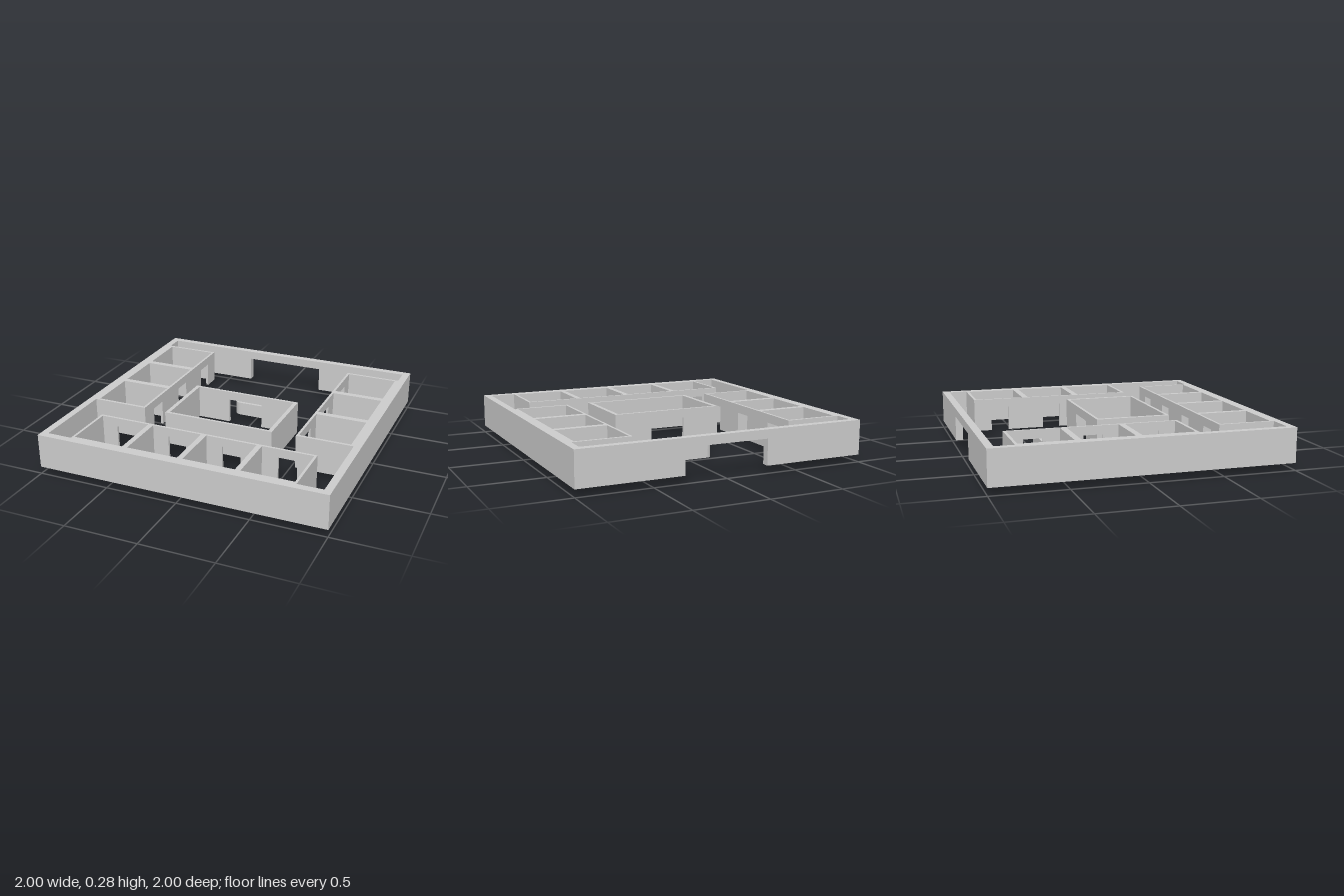
import * as THREE from 'three';

const BASE = 0.05, TOP = 0.285, DOOR_TOP = 0.225;
const material = new THREE.MeshStandardMaterial({ color: 0xcccccc, flatShading: true });
const smooth = new THREE.MeshStandardMaterial({ color: 0xcccccc });

// Solid wall covering a rectangle of the plan
function wall(parent, name, x0, x1, z0, z1) {
  const mesh = new THREE.Mesh(new THREE.BoxGeometry(x1 - x0, TOP - BASE, z1 - z0), material);
  mesh.position.set((x0 + x1) / 2, (BASE + TOP) / 2, (z0 + z1) / 2);
  mesh.name = name;
  parent.add(mesh);
  return mesh;
}

// Wall running from a to b along its local x, with doorways notched up from the floor
function doorWall(parent, name, a, b, thickness, doors, doorWidth) {
  const shape = new THREE.Shape();
  shape.moveTo(a, BASE);
  for (const d of doors) {
    shape.lineTo(d - doorWidth / 2, BASE);
    shape.lineTo(d - doorWidth / 2, DOOR_TOP);
    shape.lineTo(d + doorWidth / 2, DOOR_TOP);
    shape.lineTo(d + doorWidth / 2, BASE);
  }
  shape.lineTo(b, BASE);
  shape.lineTo(b, TOP);
  shape.lineTo(a, TOP);
  shape.closePath();
  const geometry = new THREE.ExtrudeGeometry(shape, { depth: thickness, bevelEnabled: false });
  const mesh = new THREE.Mesh(geometry, material);
  mesh.name = name;
  parent.add(mesh);
  return mesh;
}

function group(parent, name) {
  const g = new THREE.Group();
  g.name = name;
  parent.add(g);
  return g;
}

export function createModel() {
  const model = new THREE.Group();
  model.name = 'floorPlan';

  // Outer walls, with the wide entrance at the back
  const outer = group(model, 'outerWalls');
  wall(outer, 'frontWall', -1, 1, 0.95, 1);
  wall(outer, 'leftWall', 0.95, 1, -0.95, 0.95);
  wall(outer, 'rightWall', -1, -0.95, -0.95, 0.95);
  doorWall(outer, 'entranceWall', -1, 1, 0.05, [0], 0.58).position.z = -1;

  // Three rooms along each side, doors facing the hall
  for (const s of [1, -1]) {
    const rooms = group(model, s > 0 ? 'leftRooms' : 'rightRooms');
    const across = (name, xa, xb, z0, z1) =>
      wall(rooms, name, Math.min(s * xa, s * xb), Math.max(s * xa, s * xb), z0, z1);
    across('roomBackLining', 0.928, 0.95, -0.822, 0.35);
    across('roomEndWall', 0.575, 0.928, -0.822, -0.803);
    across('roomDivider', 0.575, 0.928, -0.455, -0.412);
    across('roomDivider', 0.575, 0.928, -0.063, -0.021);
    across('roomEndWall', 0.575, 0.928, 0.33, 0.35);
    const corridor = doorWall(rooms, 'roomDoorWall', -0.35, 0.822, 0.017, [-0.155, 0.235, 0.63], 0.13);
    corridor.rotation.y = Math.PI / 2; // local x runs towards the back
    corridor.position.x = s > 0 ? 0.558 : -0.575;
  }

  // Row of four rooms along the front
  const row = group(model, 'frontRooms');
  wall(row, 'roomBackLining', -0.778, 0.778, 0.928, 0.95);
  for (const [x0, x1] of [[-0.778, -0.761], [-0.41, -0.373], [-0.019, 0.019], [0.373, 0.41], [0.761, 0.778]])
    wall(row, 'roomDivider', x0, x1, 0.575, 0.928);
  doorWall(row, 'roomDoorWall', -0.778, 0.778, 0.017, [-0.586, -0.196, 0.196, 0.586], 0.13).position.z = 0.558;

  // Central room, open towards the entrance
  const central = group(model, 'centralRoom');
  wall(central, 'centralFrontWall', -0.394, 0.394, 0.34, 0.36);
  for (const s of [1, -1])
    wall(central, 'centralSideWall', s * 0.38 - 0.014, s * 0.38 + 0.014, -0.135, 0.34);
  doorWall(central, 'centralDoorWall', -0.394, 0.394, 0.02, [0], 0.25).position.z = -0.155;

  // Reception desk with rounded ends
  const r = 0.046, half = 0.194 - r;
  const pill = new THREE.Shape();
  pill.absarc(half, 0, r, -Math.PI / 2, Math.PI / 2, false);
  pill.absarc(-half, 0, r, Math.PI / 2, Math.PI * 1.5, false);
  pill.closePath();
  const desk = new THREE.Mesh(
    new THREE.ExtrudeGeometry(pill, { depth: 0.097, bevelEnabled: false, curveSegments: 16 }), smooth);
  desk.name = 'receptionDesk';
  desk.rotation.x = -Math.PI / 2;
  desk.position.set(0.006, 0, -0.422);
  model.add(desk);

  return model;
}
